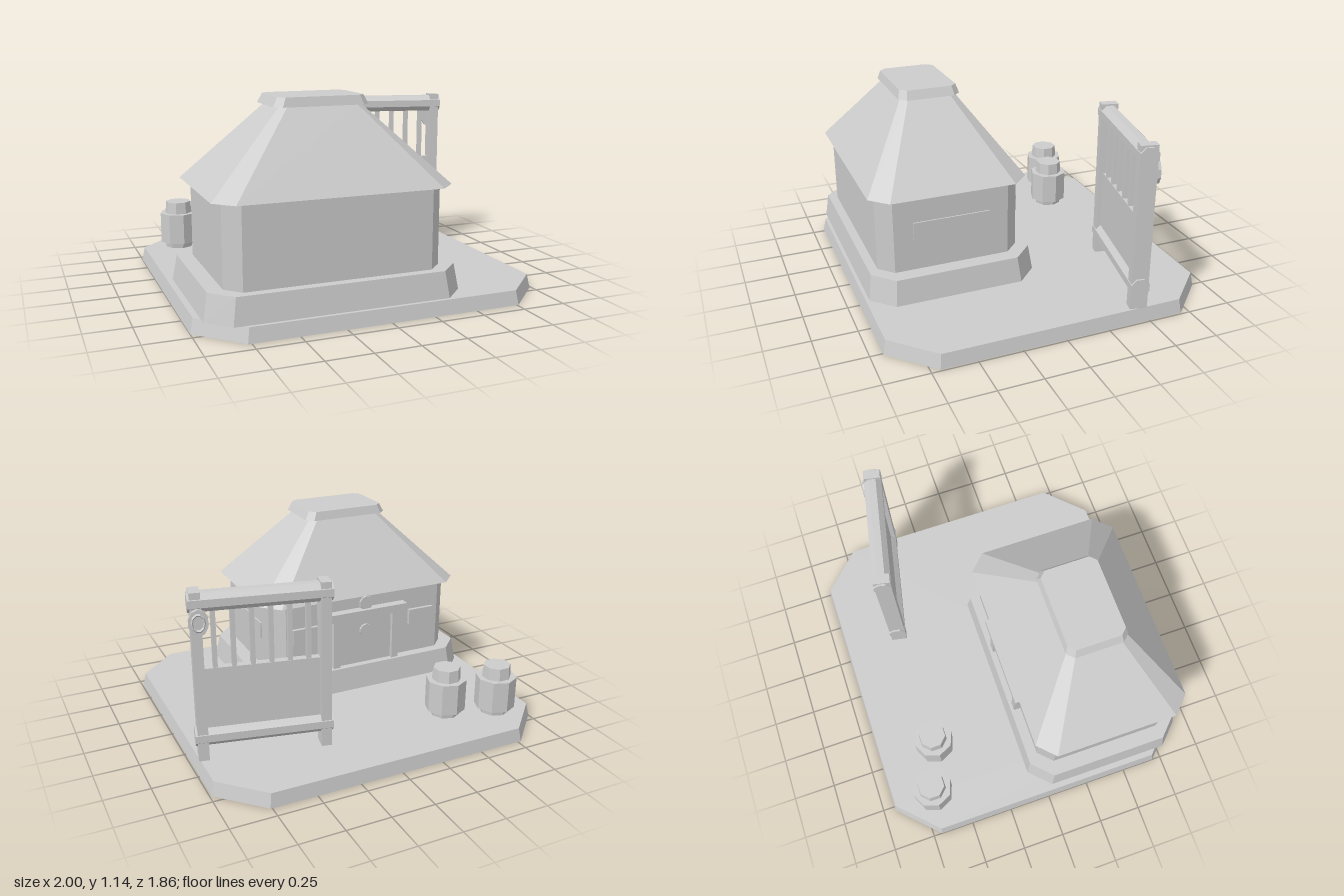
import * as THREE from 'three';

// Double-sided because the slab and house sections are open shells
const stone = new THREE.MeshStandardMaterial({
  color: 0xcccccc, flatShading: true, side: THREE.DoubleSide,
});
stone.name = 'pale grey';

function add(parent, name, geometry, x = 0, y = 0, z = 0) {
  const mesh = new THREE.Mesh(geometry, stone);
  mesh.name = name;
  mesh.position.set(x, y, z);
  parent.add(mesh);
  return mesh;
}

const box = (w, h, d) => new THREE.BoxGeometry(w, h, d);
const disc = (r, d) => new THREE.CylinderGeometry(r, r, d, 10).rotateX(Math.PI / 2);

// Rectangle with cut corners, counterclockwise from above
function ring([y, x0, x1, z0, z1, c]) {
  return [
    [x0 + c, z1], [x1 - c, z1], [x1, z1 - c], [x1, z0 + c],
    [x1 - c, z0], [x0 + c, z0], [x0, z0 + c], [x0, z1 - c],
  ].map(([x, z]) => [x, y, z]);
}

// Sides and top between two cut-corner rectangles [y, x0, x1, z0, z1, corner], floor optional
function frustum(lower, upper, floor = false) {
  const a = ring(lower), b = ring(upper), p = [];
  for (let i = 0; i < 8; i++) {
    const j = (i + 1) % 8;
    p.push(...a[i], ...a[j], ...b[j], ...a[i], ...b[j], ...b[i]);
    if (i > 0 && i < 7) {
      p.push(...b[0], ...b[i], ...b[j]);
      if (floor) p.push(...a[0], ...a[j], ...a[i]);
    }
  }
  const g = new THREE.BufferGeometry();
  g.setAttribute('position', new THREE.Float32BufferAttribute(p, 3));
  g.computeVertexNormals();
  return g;
}

function createHouse() {
  const house = new THREE.Group();
  house.name = 'house';
  const cx = -0.24;

  add(house, 'foundation', frustum(
    [0.08, -0.95, 0.47, -0.083, 0.895, 0.12], [0.225, -0.925, 0.445, -0.063, 0.875, 0.115]));
  add(house, 'walls', frustum(
    [0.225, -0.84, 0.357, -0.003, 0.824, 0.08], [0.668, -0.84, 0.357, -0.003, 0.824, 0.08]));
  add(house, 'roof', frustum(
    [0.668, -0.895, 0.415, -0.045, 0.865, 0.098], [1.09, -0.47, -0.01, 0.25, 0.562, 0.035], true));
  add(house, 'roofCap', frustum(
    [1.09, -0.505, 0.025, 0.225, 0.582, 0.04], [1.14, -0.48, 0, 0.24, 0.569, 0.035], true));

  // Doorway on the back wall
  add(house, 'door', box(0.36, 0.31, 0.02), cx, 0.38, -0.012);
  add(house, 'lintel', box(0.54, 0.05, 0.06), cx, 0.557, -0.03);
  for (const s of [-1, 1]) {
    add(house, 'doorPost', box(0.045, 0.31, 0.045), cx + s * 0.2, 0.38, -0.022);
    add(house, 'backWindow', box(0.17, 0.097, 0.024), cx + s * 0.395, 0.467, -0.012);
  }
  add(house, 'doorBoss', disc(0.04, 0.02), cx, 0.44, -0.025);
  add(house, 'lintelBoss', disc(0.045, 0.012), cx, 0.617, -0.03);

  // Long window on the side wall
  add(house, 'sideWindow', box(0.009, 0.1, 0.445), 0.361, 0.46, 0.411);
  return house;
}

function createGate() {
  const gate = new THREE.Group();
  gate.name = 'gate';
  gate.position.set(0.6195, 0, -0.507);
  gate.rotation.y = -0.203;

  for (const s of [-1, 1]) {
    add(gate, 'gatePost', box(0.056, 0.945, 0.096), s * 0.332, 0.5525, 0);
  }
  // Eight-sided rails, slightly thicker than the posts they run through
  for (const y of [0.965, 0.21]) {
    const rail = new THREE.CylinderGeometry(0.055, 0.055, 0.742, 8)
      .rotateY(Math.PI / 8).rotateZ(Math.PI / 2);
    add(gate, 'gateRail', rail, 0, y, 0);
  }
  add(gate, 'gatePanel', box(0.62, 0.39, 0.042), 0, 0.405, 0);
  for (let i = 0; i < 6; i++) {
    add(gate, 'gateBar', box(0.024, 0.36, 0.038), (i - 2.5) * 0.098, 0.76, 0);
  }
  // Oval ringed plate on the back of the outer post
  add(gate, 'ovalPlate', disc(0.052, 0.016).scale(1, 1.4, 1), 0.322, 0.87, -0.056);
  const rim = new THREE.TorusGeometry(0.032, 0.006, 4, 10).scale(1, 1.4, 1);
  add(gate, 'ovalRim', rim, 0.322, 0.87, -0.064);
  return gate;
}

export function createModel() {
  const model = new THREE.Group();
  model.name = 'houseWithGate';

  add(model, 'groundSlab', frustum(
    [0, -1, 0.99, -0.93, 0.93, 0.23], [0.08, -0.983, 0.974, -0.918, 0.915, 0.225]));
  model.add(createHouse(), createGate());

  // Eight-sided jars with a narrow foot, flat shoulder and neck
  const foot = new THREE.CylinderGeometry(0.09, 0.085, 0.035, 8);
  const body = new THREE.CylinderGeometry(0.117, 0.117, 0.187, 8);
  const neck = new THREE.CylinderGeometry(0.078, 0.084, 0.073, 8);
  for (const [x, z] of [[-0.762, -0.668], [-0.482, -0.572]]) {
    add(model, 'jarFoot', foot, x, 0.0975, z).rotation.y = 0.06;
    add(model, 'jarBody', body, x, 0.2085, z).rotation.y = 0.06;
    add(model, 'jarNeck', neck, x, 0.337, z).rotation.y = Math.PI / 8;
  }
  return model;
}
